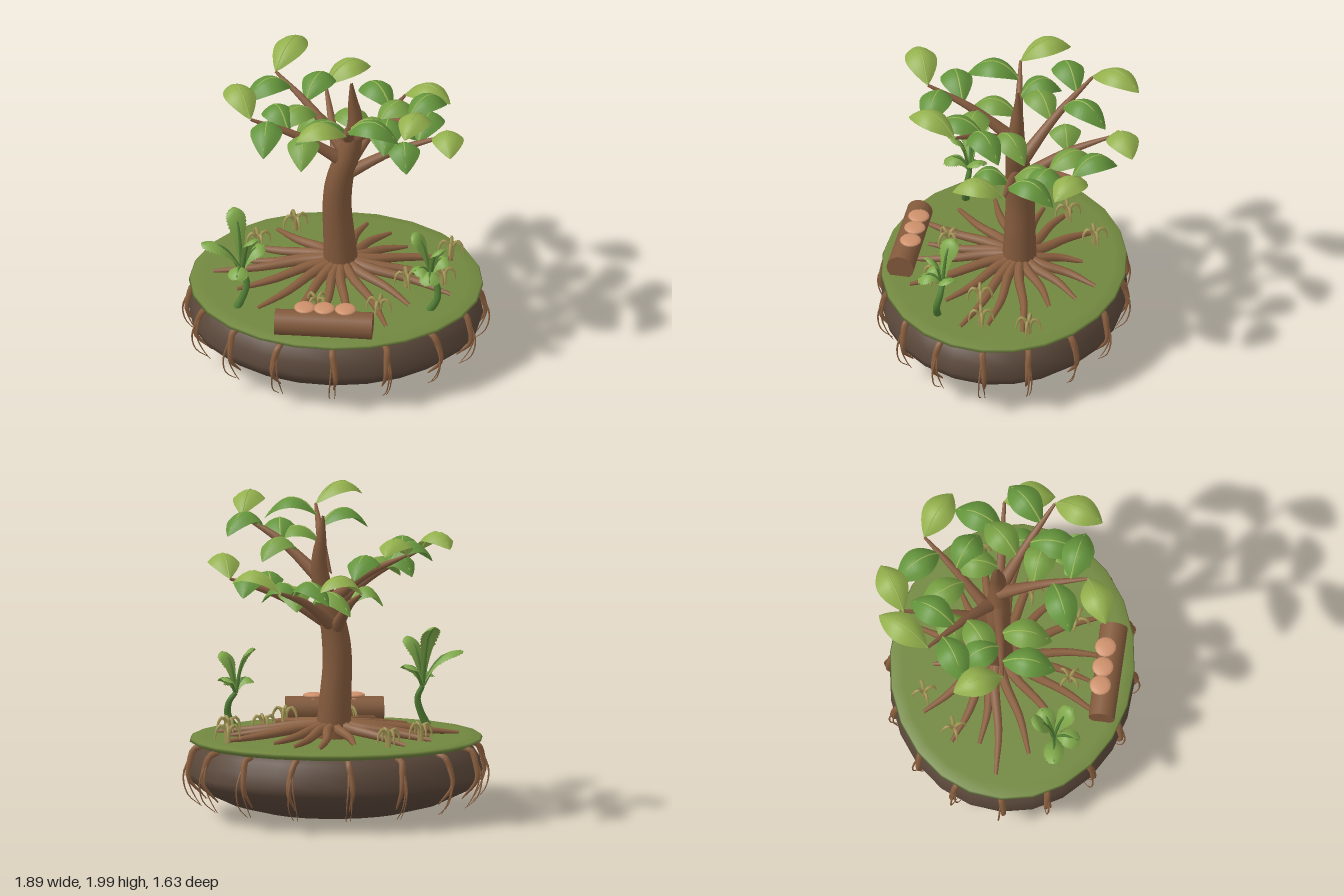
import * as THREE from 'three';

const V = (x, y, z) => new THREE.Vector3(x, y, z);
const mat = (color, side = THREE.FrontSide) => new THREE.MeshStandardMaterial({ color, side });
const BARK = mat(0x835a3c), BRANCH = mat(0x875d40), ROOT = mat(0x8a5f3f), SOIL = mat(0x5a473a);
const MOSS = mat(0x71873f), STEM = mat(0x527f35), RIB = mat(0x9fba58), GRASS = mat(0xa89a58);
const FUNGUS = mat(0xcd906b);
const LEAF = [0x93b04c, 0x64953c, 0x769f42].map(c => mat(c, THREE.DoubleSide));
const TRAP = mat(0x7fa84a, THREE.DoubleSide);

// disc centre and radii
const CX = -0.015, CZ = 0.04, RX = 0.9, RZ = 0.75;

function add(parent, name, geo, material) {
  const m = new THREE.Mesh(geo, material);
  m.name = name;
  parent.add(m);
  return m;
}

function group(parent, name) {
  const g = new THREE.Group();
  g.name = name;
  parent.add(g);
  return g;
}

// tube along a smooth path whose radius follows a list of values
function taper(points, radii, seg = 14, sides = 8) {
  const curve = new THREE.CatmullRomCurve3(points);
  const geo = new THREE.TubeGeometry(curve, seg, 1, sides, false);
  const pos = geo.attributes.position, p = V(0, 0, 0);
  for (let i = 0; i < pos.count; i++) {
    const t = Math.floor(i / (sides + 1)) / seg;
    const f = t * (radii.length - 1), k = Math.min(Math.floor(f), radii.length - 2);
    const r = THREE.MathUtils.lerp(radii[k], radii[k + 1], f - k);
    const c = curve.getPointAt(t);
    p.fromBufferAttribute(pos, i).sub(c).multiplyScalar(r).add(c);
    pos.setXYZ(i, p.x, p.y, p.z);
  }
  return geo;
}

// curved blade: a strip bent along a path, with a width rule and edges drooping along "down"
function blade(curve, width, droop, seg) {
  const geo = new THREE.PlaneGeometry(2, 1, 6, seg);
  const pos = geo.attributes.position;
  for (let i = 0; i < pos.count; i++) {
    const u = pos.getX(i), t = pos.getY(i) + 0.5;
    const side = V(0, 0, 0).crossVectors(curve.getTangent(t), V(0, 1, 0)).normalize();
    const w = width(t);
    const p = curve.getPoint(t).addScaledVector(side, w * u);
    pos.setXYZ(i, p.x, p.y - droop * w * u * u, p.z);
  }
  geo.computeVertexNormals();
  return geo;
}

function leaf(parent, base, tip, color) {
  const mid = base.clone().lerp(tip, 0.5);
  mid.y = base.y + 0.24;
  const curve = new THREE.QuadraticBezierCurve3(base, mid, tip);
  const g = group(parent, 'leaf');
  add(g, 'leafBlade', blade(curve, t => 0.096 * Math.pow(Math.sin(Math.PI * t), 0.85) + 0.002, 0.55, 14), LEAF[color]);
  const rib = [0, 0.3, 0.6, 0.92].map(t => curve.getPoint(t));
  add(g, 'leafRib', taper(rib, [0.007, 0.005, 0.003], 10, 5), RIB);
}

// snapping plant: curved stem with toothed blades that widen into lobes
function plant(parent, stem, tips) {
  const g = group(parent, 'trapPlant');
  add(g, 'plantStem', taper(stem, [0.026, 0.022, 0.02, 0.016], 12, 8), STEM);
  const top = stem[stem.length - 1];
  for (const tip of tips) {
    const mid = top.clone().lerp(tip, 0.4);
    mid.y = Math.max(top.y + 0.1, tip.y) + 0.03;
    const curve = new THREE.QuadraticBezierCurve3(top, mid, tip);
    const width = t => 0.013 + 0.046 * Math.pow(Math.sin(Math.PI * Math.pow(t, 1.9)), 0.7)
      + (t > 0.45 && t < 0.97 && Math.round(t * 28) % 2 ? 0.008 : 0);
    add(g, 'trapBlade', blade(curve, width, 0.5, 28), TRAP);
    add(g, 'trapRib', taper([0, 0.5, 0.95].map(t => curve.getPoint(t)), [0.014, 0.01, 0.004], 8, 5), STEM);
  }
}

function lathe(points, name, parent, material) {
  const geo = new THREE.LatheGeometry(points.map(p => new THREE.Vector2(...p)), 24);
  geo.scale(RX, 1, RZ).translate(CX, 0, CZ);
  add(parent, name, geo, material);
}

export function createModel() {
  const model = new THREE.Group();
  model.name = 'treeIsland';

  // earth body and mossy disc
  lathe([[0.001, 0.008], [0.25, 0.016], [0.5, 0.045], [0.72, 0.095], [0.9, 0.17], [0.985, 0.235], [1, 0.28],
    [0.98, 0.36], [0.93, 0.43], [0.87, 0.47]], 'earthBody', model, SOIL);
  lathe([[0.8, 0.452], [0.95, 0.46], [1, 0.48], [0.99, 0.497], [0.9, 0.507], [0.001, 0.51]],
    'mossDisc', model, MOSS);

  // roots hugging the earth below the rim, each with fine strands
  const hanging = group(model, 'hangingRoots');
  const rim = (a, f, y) => V(CX + Math.cos(a) * RX * f, y, CZ + Math.sin(a) * RZ * f);
  for (let i = 0; i < 16; i++) {
    const a = (i / 16) * Math.PI * 2, s = i % 2 ? 1 : -1;
    add(hanging, 'hangingRoot', taper([rim(a, 0.9, 0.45), rim(a, 0.965, 0.435), rim(a + 0.015 * s, 1, 0.36),
      rim(a + 0.025 * s, 1.01, 0.26), rim(a + 0.01 * s, 0.9, 0.14)], [0.02, 0.021, 0.016, 0.011, 0.004], 14, 6), ROOT);
    for (const k of [-1, 1])
      add(hanging, 'rootStrand', taper([rim(a, 0.99, 0.4), rim(a + 0.012 * k, 1.03 + 0.012 * k, 0.27),
        rim(a + 0.02 * k, 0.99 + 0.02 * k, 0.15), rim(a + 0.016 * k, 0.92, 0.08)], [0.008, 0.005, 0.002], 10, 5), ROOT);
  }

  // surface roots spreading from the trunk
  const surface = group(model, 'surfaceRoots');
  for (let i = 0; i < 18; i++) {
    const a = (i / 18) * Math.PI * 2 + 0.08 * Math.sin(i * 5), f = 0.74 + 0.1 * Math.sin(i * 2.3);
    const end = rim(a, f, 0.512), start = V(0.01, 0.57, -0.06);
    const at = (t, y, bend) => V(THREE.MathUtils.lerp(start.x, end.x, t) - Math.sin(a) * bend, y,
      THREE.MathUtils.lerp(start.z, end.z, t) + Math.cos(a) * bend);
    add(surface, 'surfaceRoot', taper([at(0.08, 0.585, 0), at(0.3, 0.57, 0.01), at(0.65, 0.542, -0.015), end],
      [0.034, 0.03, 0.024, 0.012], 10, 7), ROOT);
  }

  // trunk
  const tree = group(model, 'tree');
  add(tree, 'trunk', taper([V(0.015, 0.5, -0.06), V(0, 0.75, -0.06), V(-0.012, 1, -0.06), V(0.01, 1.2, -0.055),
    V(0.07, 1.4, -0.05), V(0.1, 1.58, -0.055), V(0.085, 1.75, -0.06), V(0.075, 1.88, -0.06)],
  [0.112, 0.1, 0.092, 0.088, 0.076, 0.058, 0.04, 0.008], 28, 14), BARK);

  // branches: start, tip, then leaves as [position along branch, tip x, tip z, colour]
  const branches = [
    [V(0.06, 1.5, -0.04), V(0.06, 1.86, 0.5), [[1, -0.24, 0.63, 0], [0.8, 0.38, 0.46, 1], [0.6, -0.25, 0.41, 1], [0.38, 0.37, 0.22, 2]]],
    [V(0.1, 1.5, -0.04), V(0.54, 1.84, 0.26), [[1, 0.42, 0.56, 0], [0.75, 0.66, -0.03, 1], [0.5, 0.29, 0.45, 1], [0.32, 0.46, -0.16, 2]]],
    [V(0.02, 1.2, -0.05), V(0.65, 1.5, -0.06), [[1, 0.69, 0.25, 0], [0.74, 0.6, -0.36, 1], [0.58, 0.42, 0.2, 1], [0.4, 0.27, -0.36, 2]]],
    [V(0.02, 1.2, -0.08), V(0.39, 1.48, -0.53), [[1, 0.67, -0.38, 0], [0.78, 0.11, -0.68, 1], [0.55, 0.47, -0.2, 1], [0.4, -0.04, -0.52, 2]]],
    [V(0, 1.18, -0.08), V(-0.1, 1.48, -0.62), [[1, 0.17, -0.78, 0], [0.5, -0.27, -0.28, 2]]],
    [V(0.05, 1.34, -0.08), V(-0.4, 1.69, -0.45), [[1, -0.23, -0.76, 0], [0.78, -0.58, -0.21, 1], [0.58, -0.06, -0.58, 1], [0.42, -0.4, -0.05, 2]]],
    [V(0.04, 1.3, -0.05), V(-0.54, 1.65, 0.02), [[1, -0.68, -0.27, 0], [0.8, -0.45, 0.34, 1], [0.6, -0.45, -0.25, 1], [0.42, -0.22, 0.3, 2]]],
  ];
  for (const [start, tip, leaves] of branches) {
    const mid = start.clone().lerp(tip, 0.5);
    mid.y += 0.035;
    const path = [start, mid, tip];
    const curve = new THREE.CatmullRomCurve3(path);
    add(tree, 'branch', taper(path, [0.045, 0.031, 0.022, 0.009], 14, 9), BRANCH);
    for (const [t, x, z, color] of leaves) {
      const base = curve.getPoint(t);
      leaf(tree, base, V(x, base.y + (t === 1 ? 0.04 : -0.02), z), color);
    }
  }

  // trap plants on either side
  plant(model, [V(-0.61, 0.5, 0.37), V(-0.565, 0.6, 0.36), V(-0.55, 0.68, 0.35), V(-0.58, 0.75, 0.34)],
    [V(-0.64, 1.13, 0.21), V(-0.83, 0.96, 0.36), V(-0.49, 1.04, 0.45), V(-0.45, 0.89, 0.25), V(-0.61, 0.79, 0.5)]);
  plant(model, [V(0.57, 0.5, 0.36), V(0.615, 0.59, 0.36), V(0.61, 0.67, 0.34), V(0.57, 0.73, 0.33)],
    [V(0.46, 1.01, 0.28), V(0.65, 0.97, 0.42), V(0.67, 0.83, 0.26), V(0.47, 0.8, 0.4), V(0.57, 0.76, 0.48)]);

  // tufts of arching grass
  const tufts = group(model, 'grassTufts');
  for (const [x, z] of [[-0.5, -0.28], [-0.28, -0.48], [0.68, -0.22], [0.64, 0.08], [0.42, 0.12], [0.26, 0.42], [-0.12, 0.4]])
    for (let i = 0; i < 4; i++) {
      const a = i * 1.571 + x * 7, c = Math.cos(a), s = Math.sin(a);
      const at = (r, y) => V(x + c * r, y, z + s * r);
      add(tufts, 'grassBlade', taper([at(0.005, 0.5), at(0.015, 0.59), at(0.04, 0.62), at(0.065, 0.595), at(0.078, 0.53)],
        [0.013, 0.012, 0.01, 0.004], 12, 5), GRASS);
    }

  // fallen log with flat mushrooms
  const log = group(model, 'fallenLog');
  log.position.set(-0.07, 0.565, 0.63);
  log.rotation.y = -0.05;
  add(log, 'log', new THREE.CylinderGeometry(0.08, 0.085, 0.6, 14).rotateZ(Math.PI / 2), BARK);
  for (const x of [-0.12, 0, 0.13]) {
    add(log, 'mushroomStem', new THREE.CylinderGeometry(0.015, 0.018, 0.05, 8), FUNGUS).position.set(x, 0.075, -0.03);
    const cap = add(log, 'mushroomCap', new THREE.SphereGeometry(0.066, 14, 8), FUNGUS);
    cap.scale.y = 0.27;
    cap.position.set(x, 0.094, -0.03);
  }
  return model;
}
